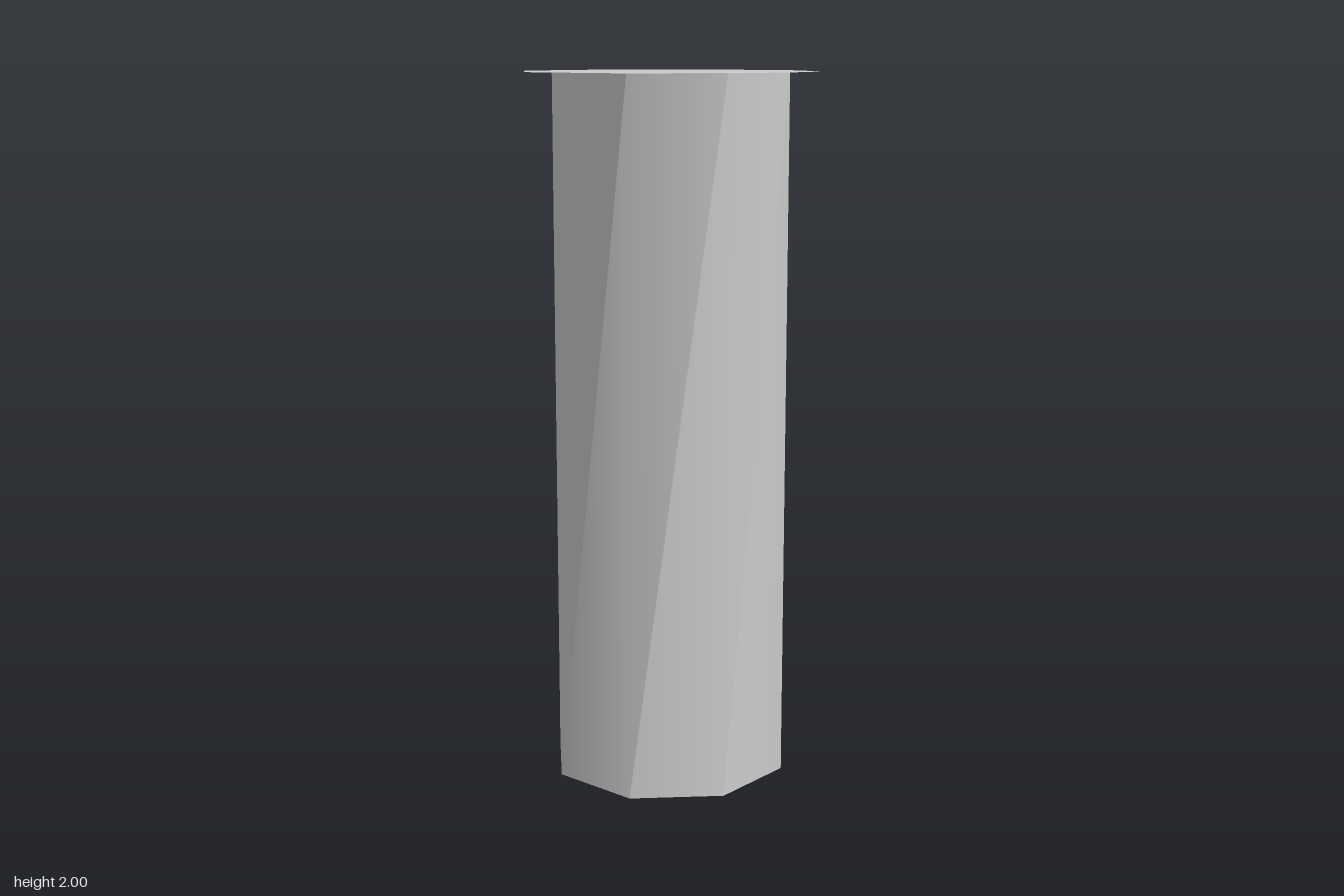
import * as THREE from 'three';

const SIDES = 8;
const STEP = (Math.PI * 2) / SIDES;
const HEIGHT = 2;
const SHAFT_RADIUS = 0.32 / Math.cos(STEP / 2);
const CAP_RADIUS = 0.397 / Math.cos(STEP / 2);

const material = new THREE.MeshStandardMaterial({ color: 0xcccccc, side: THREE.DoubleSide });

// Corner of the shaft's octagon; angle 0 faces +z and grows towards +x
function corner(k, y) {
  const a = (k - 0.5) * STEP;
  return [Math.sin(a) * SHAFT_RADIUS, y, Math.cos(a) * SHAFT_RADIUS];
}

// Slanted panels, each turned one corner from bottom to top and folded along
// its upright diagonal; normals are smooth within a panel, creased between them
function twistedShaft() {
  const positions = [];
  const indices = [];
  for (let k = 0; k < SIDES; k++) {
    const i = k * 4;
    positions.push(
      ...corner(k, 0), ...corner(k + 1, 0),
      ...corner(k + 2, HEIGHT), ...corner(k + 1, HEIGHT),
    );
    indices.push(i, i + 1, i + 3, i + 1, i + 2, i + 3);
  }
  const geometry = new THREE.BufferGeometry();
  geometry.setAttribute('position', new THREE.Float32BufferAttribute(positions, 3));
  geometry.setIndex(indices);
  geometry.computeVertexNormals();
  return geometry;
}

export function createModel() {
  const model = new THREE.Group();
  model.name = 'twistedColumn';

  // Open-bottomed shaft
  const shaft = new THREE.Mesh(twistedShaft(), material);
  shaft.name = 'shaft';
  model.add(shaft);

  // Thin flat octagonal cap overhanging the shaft
  const cap = new THREE.Mesh(new THREE.CircleGeometry(CAP_RADIUS, SIDES, STEP / 2), material);
  cap.name = 'cap';
  cap.rotation.x = -Math.PI / 2;
  cap.position.y = HEIGHT;
  model.add(cap);

  return model;
}
